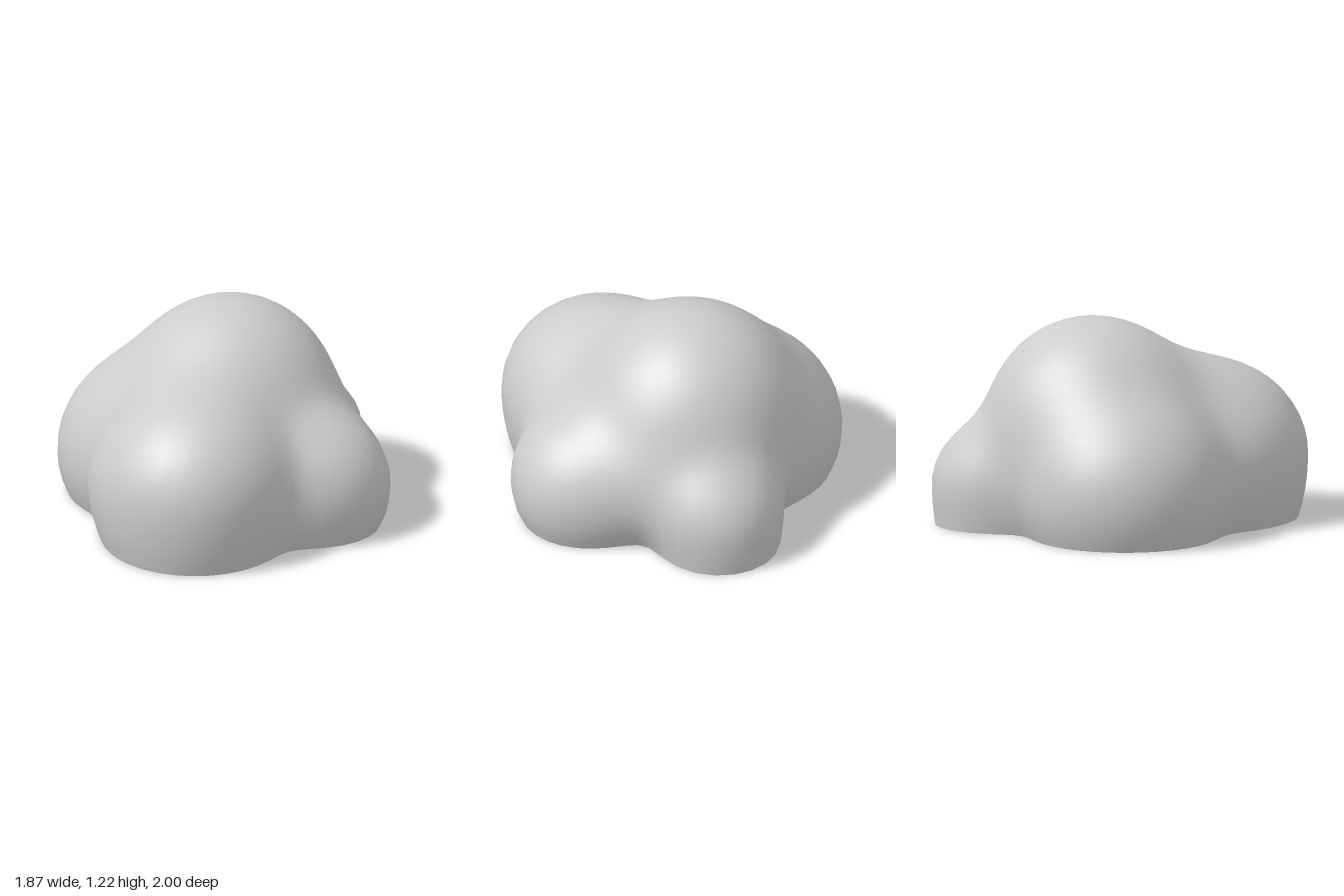
import * as THREE from 'three';

// Lobes of the mound: x, y, z, radius, and how strongly the lower half curves in
const LOBES = [
  [0.06, 0.62, -0.26, 0.6, 1],     // tall crown
  [-0.23, 0.36, 0.47, 0.53, 0.65], // front
  [-0.35, 0.25, -0.41, 0.58, 1],   // back right
  [0.5, 0.22, -0.62, 0.36, 0.5],   // back left
  [0.5, 0.24, 0.22, 0.43, 0.9],    // front left
  [-0.45, 0.32, 0.28, 0.32, 0.8],  // fill on the right side
  [-0.15, 0.6, 0.2, 0.29, 1],      // slope from crown to front
  [0.52, 0.36, -0.17, 0.2, 1],     // fill on the left side
];
const BLEND = 0.105;
const CORE = new THREE.Vector3(0, 0.35, -0.05);
const AROUND = 64, UP = 24;

// Smoothly blended distance to all lobes
function distance(p) {
  let sum = 0;
  for (const [x, y, z, r, foot] of LOBES) {
    const dy = p.y < y ? (p.y - y) * foot : p.y - y;
    sum += Math.exp((r - Math.hypot(p.x - x, dy, p.z - z)) / BLEND);
  }
  return -BLEND * Math.log(sum);
}

// Outermost surface point along a ray
function surfacePoint(origin, dir) {
  const at = (t) => origin.clone().addScaledVector(dir, t);
  let t = 1.5;
  while (t > 0.05 && distance(at(t)) > 0) t -= 0.02;
  let lo = t, hi = t + 0.02;
  for (let i = 0; i < 12; i++) {
    const mid = (lo + hi) / 2;
    if (distance(at(mid)) > 0) hi = mid; else lo = mid;
  }
  return at(lo);
}

function makeGeometry(points, index) {
  const g = new THREE.BufferGeometry().setFromPoints(points);
  g.setIndex(index);
  g.computeVertexNormals();
  return g;
}

export function createModel() {
  const group = new THREE.Group();
  group.name = 'roundedMound';
  const grey = new THREE.MeshStandardMaterial({ color: 0xcccccc });
  grey.name = 'stone grey';

  // Outline where the mound meets the ground
  const floor = new THREE.Vector3(CORE.x, 0, CORE.z);
  const rim = [];
  for (let i = 0; i < AROUND; i++) {
    const a = (i / AROUND) * Math.PI * 2;
    rim.push(surfacePoint(floor, new THREE.Vector3(Math.cos(a), 0, Math.sin(a))));
  }

  // Rings rising from the rim to the crown
  const points = [...rim];
  for (let j = 1; j < UP; j++) {
    for (let i = 0; i < AROUND; i++) {
      const a = (i / AROUND) * Math.PI * 2;
      const start = Math.atan2(-CORE.y, rim[i].distanceTo(floor));
      const e = THREE.MathUtils.lerp(start, Math.PI / 2, j / UP);
      const dir = new THREE.Vector3(Math.cos(e) * Math.cos(a), Math.sin(e), Math.cos(e) * Math.sin(a));
      points.push(surfacePoint(CORE, dir));
    }
  }
  points.push(surfacePoint(CORE, new THREE.Vector3(0, 1, 0)));
  const index = [];
  const top = points.length - 1;
  for (let j = 0; j < UP; j++) {
    for (let i = 0; i < AROUND; i++) {
      const n = (i + 1) % AROUND;
      const a = j * AROUND + i, b = j * AROUND + n;
      if (j === UP - 1) index.push(a, top, b);
      else index.push(a, a + AROUND, b, b, a + AROUND, b + AROUND);
    }
  }
  const body = new THREE.Mesh(makeGeometry(points, index), grey);
  body.name = 'lobedBody';

  // Flat underside
  const fan = [];
  for (let i = 0; i < AROUND; i++) fan.push(AROUND, i, (i + 1) % AROUND);
  const base = new THREE.Mesh(makeGeometry([...rim, floor], fan), grey);
  base.name = 'flatBase';

  group.add(body, base);
  return group;
}
